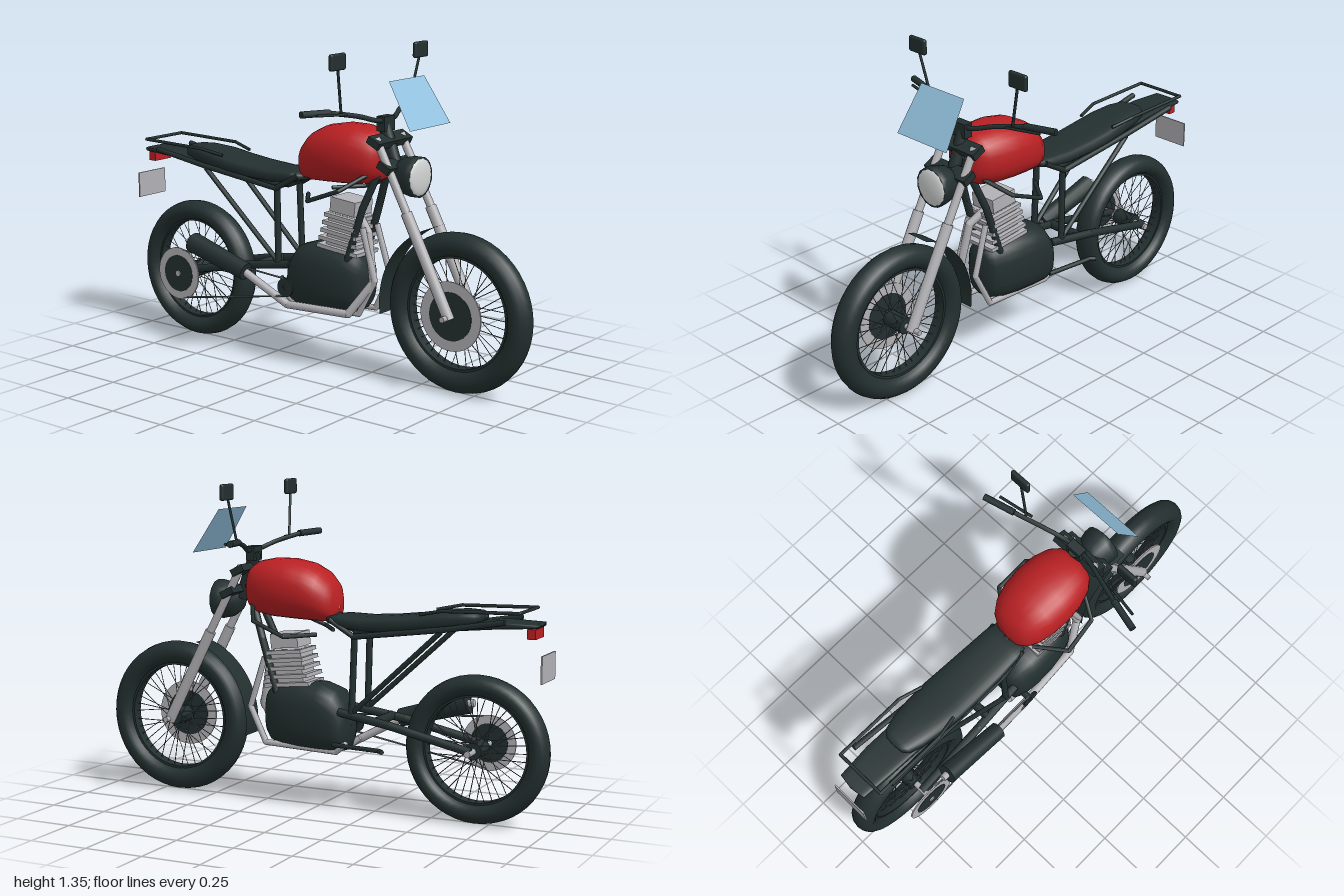
import * as THREE from 'three';
import { mergeGeometries } from 'three/addons/utils/BufferGeometryUtils.js';
import { RoundedBoxGeometry } from 'three/addons/geometries/RoundedBoxGeometry.js';

const V = (p) => new THREE.Vector3(...p);
const mat = (name, color, side = THREE.FrontSide) => {
  const m = new THREE.MeshStandardMaterial({ color, side });
  m.name = name;
  return m;
};

// Straight-sided tube through a list of points, with round joints
function rodGeo(pts, r, sides = 8, r2 = r) {
  const parts = [];
  for (let i = 0; i < pts.length - 1; i++) {
    const a = V(pts[i]), b = V(pts[i + 1]), d = b.clone().sub(a);
    const g = new THREE.CylinderGeometry(r2, r, d.length(), sides);
    g.applyQuaternion(new THREE.Quaternion().setFromUnitVectors(V([0, 1, 0]), d.clone().normalize()));
    const mid = a.add(b).multiplyScalar(0.5);
    parts.push(g.translate(mid.x, mid.y, mid.z));
    if (i > 0) parts.push(new THREE.SphereGeometry(r, sides, 6).translate(...pts[i]));
  }
  return mergeGeometries(parts);
}

// Closed skin over superellipse sections [z, bottom, top, halfWidth], front to back
function loftGeo(sections, power, n = 24) {
  const pos = [], idx = [];
  const sp = (v) => Math.sign(v) * Math.abs(v) ** (2 / power);
  sections.forEach(([z, y0, y1, w]) => {
    for (let k = 0; k < n; k++) {
      const a = (k / n) * Math.PI * 2;
      pos.push(w * sp(Math.cos(a)), (y0 + y1) / 2 + ((y1 - y0) / 2) * sp(Math.sin(a)), z);
    }
  });
  for (let s = 0; s < sections.length - 1; s++) {
    for (let k = 0; k < n; k++) {
      const a = s * n + k, b = s * n + ((k + 1) % n);
      idx.push(a, a + n, b, b, a + n, b + n);
    }
  }
  const g = new THREE.BufferGeometry();
  g.setAttribute('position', new THREE.Float32BufferAttribute(pos, 3));
  g.setIndex(idx);
  g.computeVertexNormals();
  return g;
}

// Flat ring with its axis along x
function ringGeo(inner, outer, depth) {
  const s = new THREE.Shape().absarc(0, 0, outer, 0, Math.PI * 2);
  s.holes.push(new THREE.Path().absarc(0, 0, inner, 0, Math.PI * 2, true));
  return new THREE.ExtrudeGeometry(s, { depth, bevelEnabled: false, curveSegments: 32 })
    .translate(0, 0, -depth / 2).rotateY(Math.PI / 2);
}

export function createModel() {
  const model = new THREE.Group();
  model.name = 'motorcycle';
  const black = mat('black', 0x232f2f), silver = mat('silver', 0xb2b2b6), red = mat('red', 0xb92023);
  const glass = mat('windshieldBlue', 0x94c3e0, THREE.DoubleSide), lens = mat('lensGrey', 0xd2d4d4);
  const steel = mat('darkSteel', 0x5c6262), blackSheet = mat('blackSheet', 0x232f2f, THREE.DoubleSide);

  const add = (name, geo, material, parent = model) => {
    const m = new THREE.Mesh(geo, material);
    m.name = name;
    parent.add(m);
    return m;
  };
  const rod = (name, pts, r, material, sides, r2) => add(name, rodGeo(pts, r, sides, r2), material);
  // The same tube on both sides
  const pair = (name, pts, r, material, sides) => {
    for (const s of [1, -1]) {
      rod((s > 0 ? 'left' : 'right') + name, pts.map(([x, y, z]) => [x * s, y, z]), r, material, sides);
    }
  };
  const box = (name, w, h, d, x, y, z, material) => {
    const m = add(name, new THREE.BoxGeometry(w, h, d), material);
    m.position.set(x, y, z);
    return m;
  };

  // Wheels: tyre, rim, hub, crossed spokes and a disc on the right
  const wheel = (name, y, z, R, tube, wide, discX, discR) => {
    const g = new THREE.Group();
    g.name = name;
    g.position.set(0, y, z);
    model.add(g);
    add('tyre', new THREE.TorusGeometry(R - tube, tube, 14, 48).rotateY(Math.PI / 2).scale(wide, 1, 1), black, g);
    const inner = R - 2 * tube;
    add('rim', ringGeo(inner - 0.004, inner + 0.02, 0.05), black, g);
    add('hub', new THREE.CylinderGeometry(0.035, 0.035, 0.1, 16).rotateZ(Math.PI / 2), black, g);
    const spokes = [];
    for (let i = 0; i < 40; i++) {
      const a = (i / 40) * Math.PI * 2, b = a + (i % 4 < 2 ? 0.6 : -0.6), x = i % 2 ? 0.04 : -0.04;
      spokes.push(rodGeo([[x, 0.035 * Math.sin(b), 0.035 * Math.cos(b)],
        [0, inner * Math.sin(a), inner * Math.cos(a)]], 0.0018, 4));
    }
    add('spokes', mergeGeometries(spokes), steel, g);
    add('disc', ringGeo(discR * 0.68, discR, 0.006).translate(discX, 0, 0), silver, g);
    add('discCarrier', ringGeo(0.012, discR * 0.7, 0.009).translate(discX, 0, 0), black, g);
  };
  wheel('frontWheel', 0.33, 0.675, 0.325, 0.049, 1.1, -0.065, 0.14);
  wheel('rearWheel', 0.305, -0.695, 0.302, 0.042, 1.32, -0.14, 0.115);
  rod('frontAxle', [[-0.13, 0.33, 0.675], [0.13, 0.33, 0.675]], 0.012, silver);
  rod('rearAxle', [[-0.15, 0.305, -0.695], [0.115, 0.305, -0.695]], 0.014, silver);

  // Front fork, clamps and steering stem
  pair('ForkTube', [[0.085, 1.0, 0.325], [0.085, 0.68, 0.495]], 0.017, silver, 12);
  pair('ForkSlider', [[0.085, 0.72, 0.473], [0.085, 0.32, 0.68]], 0.023, silver, 12);
  for (const [y, z] of [[0.985, 0.33], [0.89, 0.38]]) {
    const c = box('forkClamp', 0.23, 0.03, 0.06, 0, y, z, black);
    c.rotation.x = 0.48;
  }
  rod('steeringStem', [[0, 1.06, 0.3], [0, 0.86, 0.37]], 0.026, black, 12);

  // Front mudguard hugging the back of the wheel
  const guard = new THREE.CylinderGeometry(0.368, 0.368, 0.11, 24, 1, true, 0, 1.4);
  const gp = guard.attributes.position;
  for (let i = 0; i < gp.count; i++) {
    const a = 0.32 + Math.atan2(gp.getX(i), gp.getZ(i)), x = gp.getY(i);
    const r = 0.37 - 6 * x * x;
    gp.setXYZ(i, x, r * Math.cos(a), -r * Math.sin(a));
  }
  guard.computeVertexNormals();
  add('frontMudguard', guard, blackSheet).position.set(0, 0.33, 0.675);

  // Headlight
  const shell = [[0, 0], [0.045, 0.005], [0.072, 0.04], [0.083, 0.09], [0.083, 0.115], [0.074, 0.115]];
  add('headlightShell', new THREE.LatheGeometry(shell.map((p) => new THREE.Vector2(...p)), 14)
    .rotateX(Math.PI / 2), blackSheet).position.set(0, 0.85, 0.365);
  const glow = add('headlightLens', new THREE.SphereGeometry(0.077, 14, 6, 0, Math.PI * 2, 0, Math.PI / 2)
    .scale(1, 0.25, 1).rotateX(Math.PI / 2), lens);
  glow.position.set(0, 0.85, 0.477);

  // Windshield
  const ws = new THREE.PlaneGeometry(0.28, 0.215);
  for (let i = 0; i < 2; i++) ws.attributes.position.setX(i, (i ? 1 : -1) * 0.12);
  const shield = add('windshield', ws, glass);
  shield.position.set(0, 1.145, 0.467);
  shield.rotation.x = -0.56;

  // Handlebar, grips and mirrors
  const bar = [[-0.27, 1.115, 0.235], [-0.14, 1.09, 0.28], [-0.05, 1.065, 0.31],
    [0.05, 1.065, 0.31], [0.14, 1.09, 0.28], [0.27, 1.115, 0.235]];
  add('handlebar', new THREE.TubeGeometry(new THREE.CatmullRomCurve3(bar.map(V)), 30, 0.01, 8), black);
  box('handlebarMount', 0.07, 0.06, 0.04, 0, 1.05, 0.31, black);
  pair('Grip', [[0.27, 1.116, 0.235], [0.402, 1.12, 0.2]], 0.014, black, 10);
  pair('Lever', [[0.21, 1.105, 0.275], [0.36, 1.115, 0.245]], 0.006, black, 6);
  pair('MirrorStem', [[0.23, 1.105, 0.262], [0.277, 1.3, 0.28]], 0.006, black, 6);
  for (const s of [1, -1]) {
    add('mirror', new RoundedBoxGeometry(0.094, 0.066, 0.02, 3, 0.009), black).position.set(s * 0.28, 1.317, 0.281);
  }

  // Fuel tank
  add('fuelTank', loftGeo([[0.322, 0.9, 0.91, 0.001], [0.318, 0.845, 0.965, 0.055], [0.3, 0.82, 1.0, 0.09],
    [0.265, 0.803, 1.022, 0.117], [0.2, 0.792, 1.035, 0.138], [0.12, 0.788, 1.035, 0.145],
    [0.04, 0.785, 1.02, 0.138], [-0.02, 0.783, 0.99, 0.122], [-0.06, 0.785, 0.95, 0.095],
    [-0.08, 0.795, 0.91, 0.06], [-0.088, 0.84, 0.85, 0.001]], 2.3, 28), red);

  // Seat and tail
  add('seat', loftGeo([[-0.06, 0.79, 0.8, 0.001], [-0.065, 0.78, 0.815, 0.08], [-0.12, 0.765, 0.82, 0.092],
    [-0.22, 0.755, 0.818, 0.098], [-0.35, 0.76, 0.828, 0.102], [-0.45, 0.77, 0.84, 0.104],
    [-0.55, 0.782, 0.858, 0.098], [-0.64, 0.795, 0.866, 0.086], [-0.7, 0.81, 0.864, 0.068],
    [-0.72, 0.825, 0.858, 0.045], [-0.725, 0.84, 0.845, 0.001]], 3), black);
  add('tail', loftGeo([[-0.18, 0.74, 0.741, 0.001], [-0.182, 0.735, 0.765, 0.075], [-0.5, 0.77, 0.8, 0.08],
    [-0.8, 0.8, 0.832, 0.076], [-0.95, 0.81, 0.828, 0.066], [-0.96, 0.818, 0.819, 0.001]], 5), black);
  pair('TailRail', [[0.08, 0.8, -0.08], [0.085, 0.737, -0.19], [0.095, 0.79, -0.58], [0.105, 0.835, -0.84]], 0.012, black);
  rod('rack', [[0.09, 0.845, -0.48], [0.112, 0.866, -0.58], [0.112, 0.874, -0.9], [-0.112, 0.874, -0.9],
    [-0.112, 0.866, -0.58], [-0.09, 0.845, -0.48]], 0.007, black);
  box('tailLight', 0.1, 0.04, 0.035, 0, 0.787, -0.928, red);
  box('numberPlate', 0.165, 0.11, 0.006, 0, 0.655, -0.982, silver);

  // Frame
  pair('DownTube', [[0.02, 0.92, 0.325], [0.058, 0.7, 0.24], [0.065, 0.45, 0.16]], 0.016, black);
  rod('backbone', [[0, 0.93, 0.33], [0, 0.83, 0.0], [0, 0.75, -0.2]], 0.025, black);
  pair('SeatTube', [[0.075, 0.74, -0.19], [0.08, 0.41, -0.18]], 0.014, black);
  pair('Strut', [[0.08, 0.42, -0.18], [0.092, 0.78, -0.57]], 0.011, black);
  pair('Swingarm', [[0.075, 0.42, -0.12], [0.085, 0.385, -0.35], [0.09, 0.31, -0.7]], 0.018, black);
  rod('swingarmBrace', [[-0.08, 0.395, -0.29], [0.08, 0.395, -0.29]], 0.02, black);
  pair('CrashBar', [[0.07, 0.85, 0.28], [0.187, 0.79, 0.215], [0.2, 0.735, 0.07], [0.08, 0.735, -0.02]], 0.009, black);

  // Engine case
  add('engineCase', loftGeo([[0.235, 0.39, 0.4, 0.001], [0.228, 0.29, 0.48, 0.06], [0.205, 0.265, 0.505, 0.085],
    [0.15, 0.25, 0.52, 0.105], [0.07, 0.245, 0.53, 0.118], [-0.02, 0.242, 0.528, 0.12],
    [-0.09, 0.24, 0.505, 0.112], [-0.125, 0.25, 0.46, 0.092], [-0.138, 0.29, 0.42, 0.06],
    [-0.142, 0.35, 0.36, 0.001]], 2.6), black);

  // Finned cylinder, leaning forward
  const cyl = new THREE.Group();
  cyl.name = 'cylinder';
  cyl.position.set(0, 0.5, 0.12);
  cyl.rotation.x = 0.1;
  model.add(cyl);
  add('barrel', new THREE.BoxGeometry(0.11, 0.2, 0.14), silver, cyl).position.y = 0.06;
  for (let i = 0; i < 5; i++) {
    add('fin', new THREE.BoxGeometry(0.15, 0.016, 0.205 - i * 0.012), silver, cyl).position.y = 0.015 + i * 0.034;
  }
  add('cylinderHead', new THREE.BoxGeometry(0.12, 0.06, 0.125), silver, cyl).position.y = 0.197;

  // Silver cradle under the engine, exhaust and muffler
  pair('Cradle', [[0.05, 0.62, 0.235], [0.055, 0.41, 0.3], [0.06, 0.262, 0.225], [0.06, 0.25, -0.1],
    [0.07, 0.29, -0.15]], 0.013, silver);
  rod('exhaustPipe', [[0, 0.66, 0.18], [-0.03, 0.6, 0.25], [-0.05, 0.4, 0.29], [-0.1, 0.265, 0.2],
    [-0.12, 0.26, -0.1], [-0.15, 0.38, -0.32]], 0.017, silver, 10);
  rod('muffler', [[-0.15, 0.375, -0.3], [-0.15, 0.46, -0.6]], 0.038, black, 12, 0.044);
  rod('mufflerTip', [[-0.15, 0.455, -0.58], [-0.15, 0.463, -0.625]], 0.016, silver);

  // Chain, foot lever and pegs
  rod('chainTop', [[-0.14, 0.375, -0.1], [-0.14, 0.413, -0.67]], 0.004, steel, 6);
  rod('chainBottom', [[-0.14, 0.3, -0.1], [-0.14, 0.2, -0.67]], 0.004, steel, 6);
  add('driveSprocket', ringGeo(0.01, 0.04, 0.008), black).position.set(-0.14, 0.337, -0.095);
  rod('sprocketShaft', [[-0.14, 0.337, -0.095], [-0.05, 0.337, -0.095]], 0.015, black);
  rod('footLever', [[0.09, 0.285, -0.1], [0.118, 0.285, -0.32], [0.138, 0.285, -0.34]], 0.01, black);
  return model;
}
